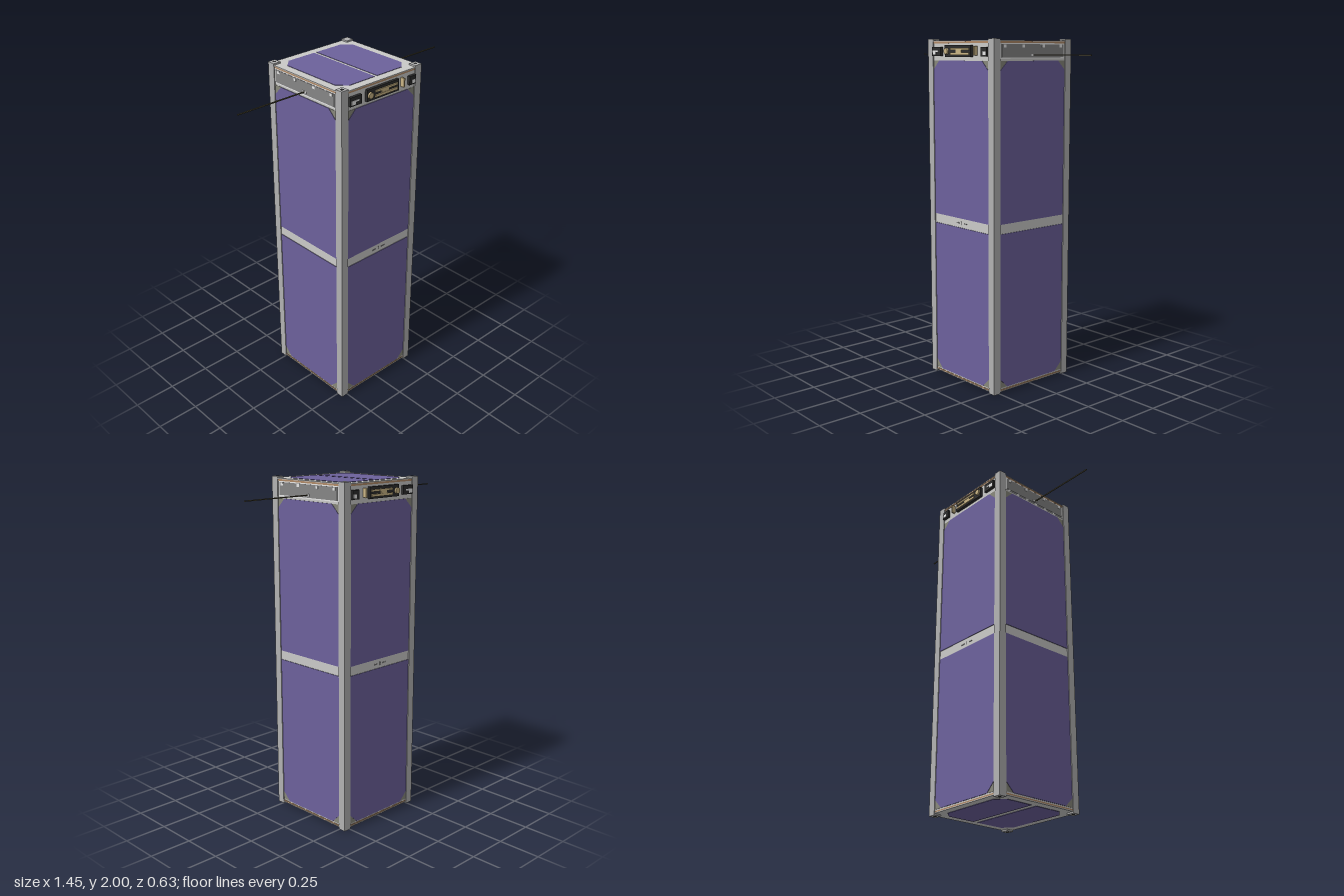
import * as THREE from 'three';

const mat = (name, color) => Object.assign(new THREE.MeshStandardMaterial({ color }), { name });

export function createModel() {
  const rail = mat('rail grey', 0xb2b2b2);
  const panel = mat('panel light grey', 0xcacac8);
  const purple = mat('solar cell purple', 0x6c619c);
  const backing = mat('cell backing olive grey', 0x87877b);
  const hatch = mat('hatch grey', 0x858585);
  const black = mat('circuit black', 0x2c2c2c);
  const gold = mat('contact gold', 0xc9b484);
  const brown = mat('board edge brown', 0xb08a68);
  const white = mat('marking white', 0xececec);
  const wire = mat('antenna dark olive', 0x55503c);

  const model = new THREE.Group();
  model.name = 'smallSatellite';

  // Box given by its limits in x, y and z
  function box(parent, name, m, x0, x1, y0, y1, z0, z1) {
    const mesh = new THREE.Mesh(new THREE.BoxGeometry(Math.abs(x1 - x0), y1 - y0, z1 - z0), m);
    mesh.position.set((x0 + x1) / 2, (y0 + y1) / 2, (z0 + z1) / 2);
    mesh.name = name;
    parent.add(mesh);
    return mesh;
  }

  // Solar cell facing +z, growing up from y = 0, with its two top corners cut off
  function cell(parent, halfWidth, height, cut) {
    const w = halfWidth;
    const shape = new THREE.Shape([
      [-w, 0], [w, 0], [w, height - cut], [w - cut, height], [cut - w, height], [-w, height - cut],
    ].map(([x, y]) => new THREE.Vector2(x, y)));
    const geo = new THREE.ExtrudeGeometry(shape, { depth: 0.002, bevelEnabled: false });
    const mesh = new THREE.Mesh(geo, purple);
    mesh.name = 'solarCell';
    parent.add(mesh);
    return mesh;
  }

  // Core and the end boards
  box(model, 'core', panel, -0.286, 0.286, 0.022, 1.976, -0.286, 0.286);
  box(model, 'topBoardEdge', brown, -0.288, 0.288, 1.976, 1.986, -0.288, 0.288);
  box(model, 'bottomBoardEdge', brown, -0.288, 0.288, 0.014, 0.022, -0.288, 0.288);
  box(model, 'topPlate', panel, -0.29, 0.29, 1.986, 1.991, -0.29, 0.29);
  box(model, 'bottomPlate', panel, -0.29, 0.29, 0.009, 0.014, -0.29, 0.29);

  // Corner rails with screw holes in their ends
  for (const sx of [-1, 1]) for (const sz of [-1, 1]) {
    const r = box(model, 'cornerRail', rail, -0.0235, 0.0235, 0, 2, -0.0235, 0.0235);
    r.position.set(sx * 0.2685, 1, sz * 0.2685);
    for (const end of [0, 2]) {
      if (end === 2 && sx > 0 && sz < 0) continue;
      const hole = new THREE.Mesh(new THREE.CylinderGeometry(0.01, 0.01, 0.002, 16), black);
      hole.name = 'railHole';
      hole.position.set(sx * 0.2685, end, sz * 0.2685);
      hole.position.y += end ? -0.0005 : 0.0005;
      model.add(hole);
    }
  }

  // Cells on the top and bottom ends
  for (const [name, y, tilt, spin, gap] of [
    ['topCells', 1.991, -Math.PI / 2, Math.PI / 2, 0.008],
    ['bottomCells', 0.009, Math.PI / 2, 0, 0.016],
  ]) {
    const end = new THREE.Group();
    end.name = name;
    for (const half of [0, Math.PI]) {
      const c = cell(end, 0.24, 0.242 - gap, 0.05);
      c.rotation.z = spin + half;
      c.position.set(-Math.sin(spin + half) * gap, Math.cos(spin + half) * gap, 0);
    }
    end.rotation.x = tilt;
    end.position.y = y;
    model.add(end);
  }

  // Electronics across the head of a face; s mirrors it in x
  function circuitHead(face, s) {
    const b = (name, m, x0, x1, y0, y1, z0, z1) => box(face, name, m, s * x0, s * x1, y0, y1, z0, z1);
    b('leftChip', black, -0.24, -0.16, 1.905, 1.955, 0.286, 0.302);
    b('chipMark', white, -0.232, -0.205, 1.912, 1.935, 0.302, 0.304);
    b('chipMark', white, -0.205, -0.18, 1.926, 1.935, 0.302, 0.304);
    b('rightChip', black, 0.193, 0.242, 1.905, 1.955, 0.286, 0.302);
    b('chipMark', white, 0.212, 0.236, 1.912, 1.932, 0.302, 0.304);
    b('circuitBoard', black, -0.122, 0.11, 1.9, 1.965, 0.286, 0.302);
    b('upperContact', gold, -0.065, 0.098, 1.938, 1.95, 0.302, 0.308);
    b('lowerContact', gold, -0.065, 0.098, 1.911, 1.925, 0.302, 0.308);
    b('contactBridge', gold, -0.02, 0.03, 1.925, 1.938, 0.302, 0.306);
    b('indicatorBar', gold, 0.139, 0.149, 1.91, 1.96, 0.286, 0.31);
    const button = new THREE.Mesh(new THREE.CylinderGeometry(0.017, 0.017, 0.012, 16), gold);
    button.name = 'roundContact';
    button.rotation.x = Math.PI / 2;
    button.position.set(s * -0.102, 1.932, 0.307);
    face.add(button);
    // Small slots in the middle band
    b('bandSlot', hatch, -0.046, -0.022, 0.953, 0.959, 0.286, 0.288);
    b('bandSlot', hatch, 0.022, 0.046, 0.953, 0.959, 0.286, 0.288);
    b('bandSlot', hatch, -0.004, 0.004, 0.946, 0.966, 0.286, 0.288);
  }

  // Framed hatch with screws and an antenna
  function antennaHead(face) {
    box(face, 'hatchFrame', white, -0.24, 0.24, 1.892, 1.976, 0.284, 0.2875);
    box(face, 'hatch', hatch, -0.233, 0.233, 1.898, 1.97, 0.286, 0.289);
    for (const x of [-0.21, -0.075, 0.075, 0.21]) {
      box(face, 'hatchScrew', white, x - 0.009, x + 0.009, 1.952, 1.968, 0.288, 0.291);
    }
    box(face, 'antennaMount', white, -0.016, 0.016, 1.906, 1.918, 0.288, 0.291);
    box(face, 'antenna', wire, -0.003, 0.003, 1.909, 1.915, 0.286, 0.725);
  }

  // Four long faces
  ['front', 'left', 'back', 'right'].forEach((name, i) => {
    const face = new THREE.Group();
    face.name = name + 'Face';
    face.rotation.y = i * Math.PI / 2;
    for (const [y0, y1, up] of [[0.03, 0.93, false], [0.985, 1.88, true]]) {
      box(face, 'cellBacking', backing, -0.245, 0.245, y0, y1, 0.284, 0.2875);
      const c = cell(face, 0.243, y1 - y0, 0.052);
      c.position.set(0, up ? y0 : y1, 0.2875);
      c.rotation.z = up ? 0 : Math.PI;
    }
    if (i % 2) antennaHead(face);
    else circuitHead(face, i === 0 ? 1 : -1);
    model.add(face);
  });

  return model;
}
